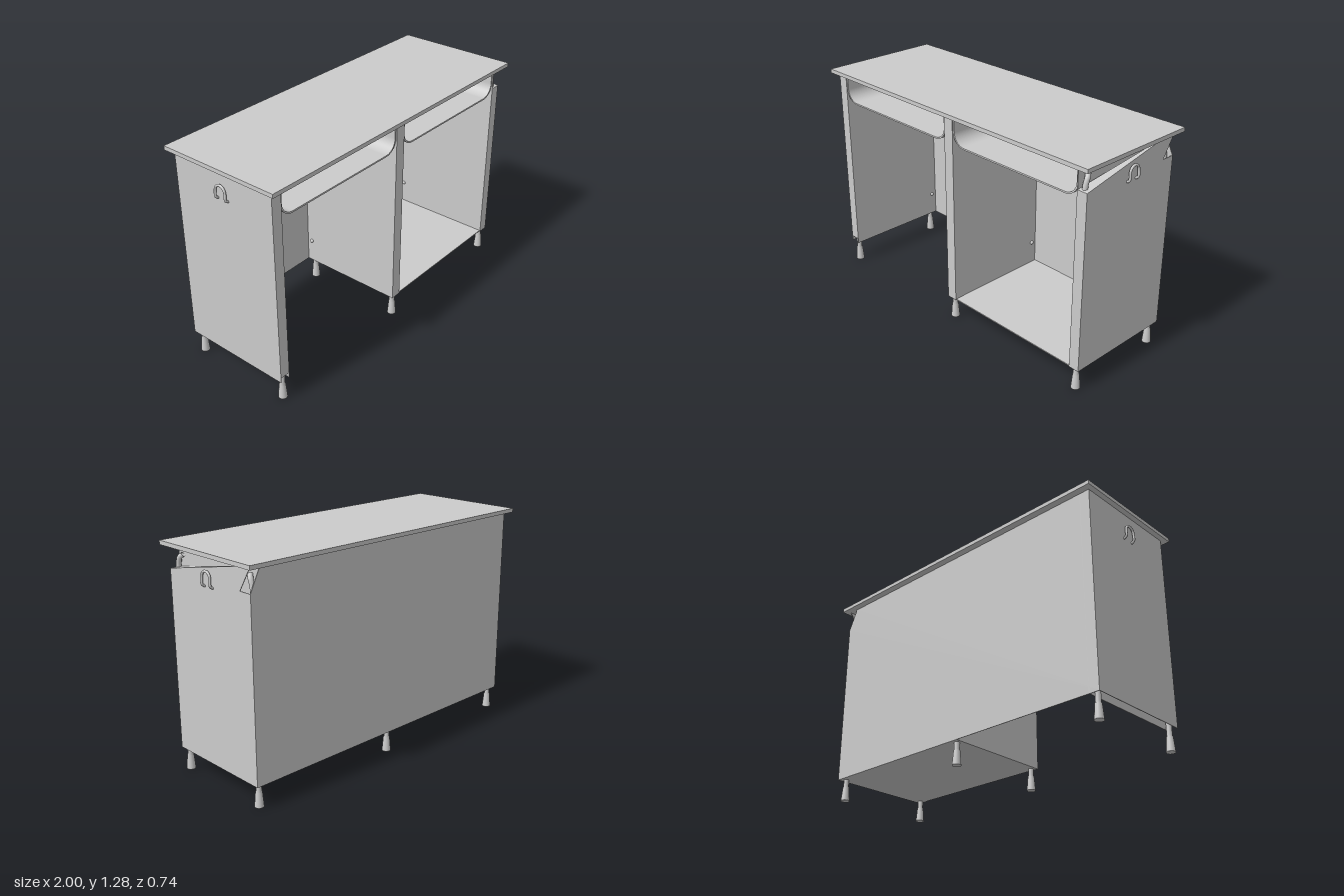
import * as THREE from 'three';

const mat = new THREE.MeshStandardMaterial({ color: 0xcccccc, side: THREE.DoubleSide });

export function createModel() {
  const root = new THREE.Group();
  const add = (name, geo, x = 0, y = 0, z = 0) => {
    const m = new THREE.Mesh(geo, mat);
    m.name = name;
    m.position.set(x, y, z);
    root.add(m);
    return m;
  };
  // Box given by its minimum and maximum corners
  const box = (name, x0, x1, y0, y1, z0, z1) =>
    add(name, new THREE.BoxGeometry(x1 - x0, y1 - y0, z1 - z0), (x0 + x1) / 2, (y0 + y1) / 2, (z0 + z1) / 2);
  const plate = (pts, depth) => new THREE.ExtrudeGeometry(
    new THREE.Shape(pts.map(p => new THREE.Vector2(...p))), { depth, bevelEnabled: false });
  const tube = (pts, r, n = 32) => new THREE.TubeGeometry(
    new THREE.CatmullRomCurve3(pts.map(p => new THREE.Vector3(...p))), n, r, 10);

  const B = 0.13, T = 1.262, D = 0.33, W = 0.97, I = 0.908, S = 0.004;

  box('tabletop', -1, 1, T, 1.285, -0.37, 0.37);

  // Back sheet, with its upper left corner cut away
  add('backPanel', plate([[-W, B], [W, B], [W, 1.135], [I, T], [-W, T]], S), 0, 0, -D);

  // Hollow right side panel, open at the bottom
  box('rightOuterSheet', -W, -W + S, B, T, -D, D);
  box('rightInnerSheet', -I - S, -I, B, T, -D, D);
  box('rightFrontFlange', -W, -I, 0.16, T, D - S, D);

  // Left side panel: outer sheet with sloping top and a notch at the back
  const side = add('leftOuterSheet',
    plate([[-D, B], [D, B], [D, 1.135], [0.25, 1.135], [0.33, T], [0.28, T], [-D, 1.14]], S), W - S);
  side.rotation.y = Math.PI / 2; // shape x runs towards the back
  box('leftInnerSheet', I, I + S, B, T, -D, D);
  box('leftFrontFlange', I, W, B, 1.14, D - S, D);
  const slope = new THREE.BufferGeometry();
  slope.setAttribute('position', new THREE.Float32BufferAttribute(
    [I, 1.14, D, W, 1.14, D, W, T, -0.28], 3));
  slope.computeVertexNormals();
  add('leftSlopingTop', slope);

  // Centre divider and the floor of the left bay
  box('centrePanel', -0.03, 0.035, B, T, -D + S, D);
  box('bayFloor', -0.03, W, B, B + 0.006, -D + S, D - S);

  // Drawer trays: bent sheets with rounded lower corners
  const trayProfile = (w, top, bottom, r, t) => {
    const s = new THREE.Shape();
    const h = w / 2, arc = (x, rad, a, b, cw) => s.absarc(x, bottom + r, rad, a, b, cw);
    s.moveTo(-h, top);
    s.lineTo(-h, bottom + r);
    arc(-h + r, r, Math.PI, 1.5 * Math.PI, false);
    arc(h - r, r, 1.5 * Math.PI, 2 * Math.PI, false);
    s.lineTo(h, top);
    s.lineTo(h - t, top);
    arc(h - r, r - t, 2 * Math.PI, 1.5 * Math.PI, true);
    arc(-h + r, r - t, 1.5 * Math.PI, Math.PI, true);
    s.lineTo(-h + t, top);
    return s;
  };
  for (const [x0, x1, name] of [[-I, -0.03, 'rightTray'], [0.035, I, 'leftTray']]) {
    add(name, new THREE.ExtrudeGeometry(trayProfile(x1 - x0, T, 1.093, 0.08, 0.009),
      { depth: 2 * D - 0.01, bevelEnabled: false, curveSegments: 10 }), (x0 + x1) / 2, 0, -D + S);
  }

  // Feet: tapered boot below a thin stem
  const foot = new THREE.LatheGeometry([[0, 0], [0.025, 0], [0.025, 0.003], [0.018, 0.085], [0.015, 0.087], [0.015, 0.16]]
    .map(p => new THREE.Vector2(...p)), 20);
  for (const x of [-0.935, 0, 0.935])
    for (const z of [-0.295, 0.303]) add('foot', foot, x, 0, z);

  // Bag hooks on both sides
  for (const s of [-1, 1]) {
    const pts = [[s * 0.965, 1.103, -0.034], [s * 0.984, 1.115, -0.034], [s * 0.985, 1.155, -0.033]];
    for (let i = 1; i < 6; i++) {
      const a = Math.PI - i * Math.PI / 6;
      pts.push([s * 0.985, 1.155 + 0.033 * Math.sin(a), 0.033 * Math.cos(a)]);
    }
    pts.push([s * 0.985, 1.155, 0.033], [s * 0.984, 1.115, 0.034], [s * 0.965, 1.103, 0.034]);
    add('bagHook', tube(pts, 0.007, 48), 0, 0, 0);
  }

  // Bent rod ends inside the left side panel
  for (const s of [-1, 1])
    add('rodEnd', tube([[0.935, 1.1, s * 0.306], [0.935, 1.16, s * 0.303], [0.935, 1.2, s * 0.29], [0.925, 1.215, s * 0.275]], 0.014, 16));

  // Small knobs low on the bay walls
  const knob = new THREE.SphereGeometry(0.012, 12, 8);
  for (const x of [-I, -0.03, 0.035, I]) add('knob', knob, x, 0.27, -0.295);

  return root;
}
